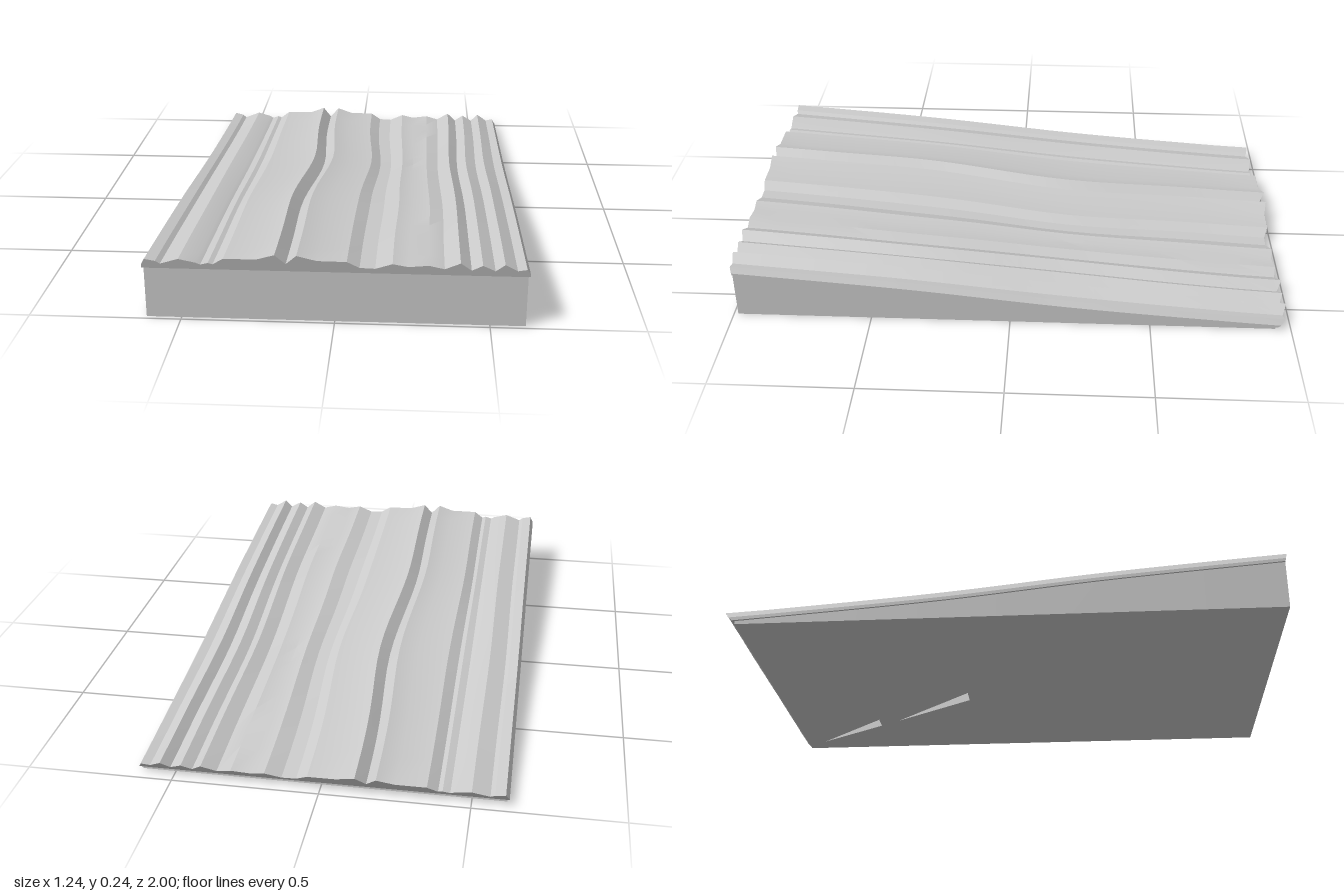
import * as THREE from 'three';
import { toCreasedNormals } from 'three/addons/utils/BufferGeometryUtils.js';

const STEPS = 20, Z_FRONT = 0.985, Z_BACK = -0.945;

// Top of the wedge along z: [z, y]
const SLOPE = [[0.985, 0.175], [0.36, 0.125], [-0.23, 0.065], [-0.945, 0.012]];
const slopeCurve = new THREE.CatmullRomCurve3(SLOPE.map(([z, y]) => new THREE.Vector3(0, y, z)));
const stations = slopeCurve.getPoints(STEPS).map((p) => [p.z, p.y]);

// Ridged cross-section of the slab: [x, height above the wedge]
const RIDGES = [
  [-0.622, 0.012], [-0.61, 0.035], [-0.575, 0.028], [-0.56, 0.018], [-0.5, 0.038], [-0.445, 0.025],
  [-0.43, 0.018], [-0.405, 0.025], [-0.39, 0.02], [-0.355, 0.043], [-0.25, 0.043], [-0.19, 0.062],
  [-0.155, 0.028], [-0.12, 0.061], [-0.055, 0.043], [0.04, 0.042], [0.08, 0.02], [0.13, 0.018],
  [0.185, 0.038], [0.235, 0.028], [0.3, 0.035], [0.35, 0.023], [0.4, 0.047], [0.435, 0.02],
  [0.47, 0.04], [0.51, 0.02], [0.54, 0.045], [0.58, 0.022], [0.61, 0.028], [0.622, 0.008],
];

// Ridges wander sideways around the middle of the ramp, not at its edges
const wander = (x, z) => {
  const bump = Math.exp(-(((z + 0.2) / 0.35) ** 2));
  const ripple = Math.exp(-(((z - 0.4) / 0.25) ** 2));
  const edge = Math.max(0, 1 - (x / 0.62) ** 2);
  return edge * (0.035 * bump * Math.cos(4.5 * (x + 0.07)) + 0.01 * ripple * Math.sin(7 * x));
};

function mesh(name, geometry) {
  const m = new THREE.Mesh(geometry,
    new THREE.MeshStandardMaterial({ color: 0xcccccc, side: THREE.DoubleSide }));
  m.name = name;
  return m;
}

// Collects quads given by their corners, counter-clockwise from outside
function quadGeometry(quads, crease) {
  const pos = [];
  for (const [a, b, c, d] of quads) pos.push(...a, ...b, ...c, ...a, ...c, ...d);
  const g = new THREE.BufferGeometry();
  g.setAttribute('position', new THREE.Float32BufferAttribute(pos, 3));
  g.computeVertexNormals();
  return crease ? toCreasedNormals(g, crease) : g;
}

function ridgedSlab() {
  const top = (i, k) => {
    const [z, y] = stations[k], [x, h] = RIDGES[i];
    // the end cuts lean outwards with height
    const lean = k === 0 ? 0.24 * h : k === STEPS ? -0.012 - 0.7 * h : 0;
    return [x + wander(x, z), y + h, z + lean];
  };
  const bottom = (i, k) => {
    const [z, y] = stations[k], x = RIDGES[i][0];
    return [x + wander(x, z), y, z - (k === STEPS ? 0.008 : 0)];
  };
  const quads = [], n = RIDGES.length - 1;
  for (let k = 0; k < STEPS; k++) {
    for (let i = 0; i < n; i++) {
      quads.push([top(i, k), top(i + 1, k), top(i + 1, k + 1), top(i, k + 1)]);
      quads.push([bottom(i, k), bottom(i, k + 1), bottom(i + 1, k + 1), bottom(i + 1, k)]);
    }
    quads.push([bottom(0, k + 1), bottom(0, k), top(0, k), top(0, k + 1)]);
    quads.push([bottom(n, k), bottom(n, k + 1), top(n, k + 1), top(n, k)]);
  }
  for (let i = 0; i < n; i++) {
    quads.push([bottom(i, 0), bottom(i + 1, 0), top(i + 1, 0), top(i, 0)]);
    quads.push([bottom(i + 1, STEPS), bottom(i, STEPS), top(i, STEPS), top(i + 1, STEPS)]);
  }
  return mesh('ridgedSlab', quadGeometry(quads, 0.35));
}

// Front, back and side walls of the wedge
function wedgeWalls() {
  const w = 0.615, quads = [];
  for (let k = 0; k < STEPS; k++) {
    const [z0, y0] = stations[k], [z1, y1] = stations[k + 1];
    quads.push([[w, 0, z0], [w, 0, z1], [w, y1, z1], [w, y0, z0]]);
    quads.push([[-w, 0, z1], [-w, 0, z0], [-w, y0, z0], [-w, y1, z1]]);
  }
  quads.push([[-w, 0, Z_FRONT], [w, 0, Z_FRONT], [w, 0.175, Z_FRONT], [-w, 0.175, Z_FRONT]]);
  quads.push([[w, 0, Z_BACK], [-w, 0, Z_BACK], [-w, 0.012, Z_BACK], [w, 0.012, Z_BACK]]);
  return mesh('wedgeWalls', quadGeometry(quads));
}

// Shallow tapering pockets in the underside: corners in x, z and depth at the front end
const POCKETS = [
  { zBack: -0.87, zFront: -0.59, xBack: 0.54, xFront: 0.37, depth: 0.033 },
  { zBack: -0.51, zFront: -0.19, xBack: 0.32, xFront: 0.12, depth: 0.035 },
];
const POCKET_X = -0.57;

function underside() {
  const s = new THREE.Shape([[-0.615, Z_BACK], [0.615, Z_BACK], [0.615, Z_FRONT], [-0.615, Z_FRONT]]
    .map((p) => new THREE.Vector2(...p)));
  for (const p of POCKETS) {
    s.holes.push(new THREE.Path([[POCKET_X, p.zBack], [POCKET_X, p.zFront],
      [p.xFront, p.zFront], [p.xBack, p.zBack]].map((v) => new THREE.Vector2(...v))));
  }
  return mesh('underside', new THREE.ShapeGeometry(s).rotateX(Math.PI / 2));
}

function pocket(p) {
  const x = POCKET_X;
  const a = [x, 0, p.zBack], b = [p.xBack, 0, p.zBack];
  const c = [p.xFront, 0, p.zFront], d = [x, 0, p.zFront];
  const cTop = [p.xFront, p.depth, p.zFront], dTop = [x, p.depth, p.zFront];
  return mesh('undersidePocket', quadGeometry([
    [a, b, cTop, dTop],   // sloped roof
    [c, d, dTop, cTop],   // front wall
    [b, c, cTop, b],      // slanted side
    [d, a, dTop, d],      // straight side
  ]));
}

export function createModel() {
  const model = new THREE.Group();
  model.name = 'ramp';
  const base = new THREE.Group();
  base.name = 'wedgeBase';
  base.add(wedgeWalls(), underside(), ...POCKETS.map(pocket));
  model.add(base, ridgedSlab());
  return model;
}
